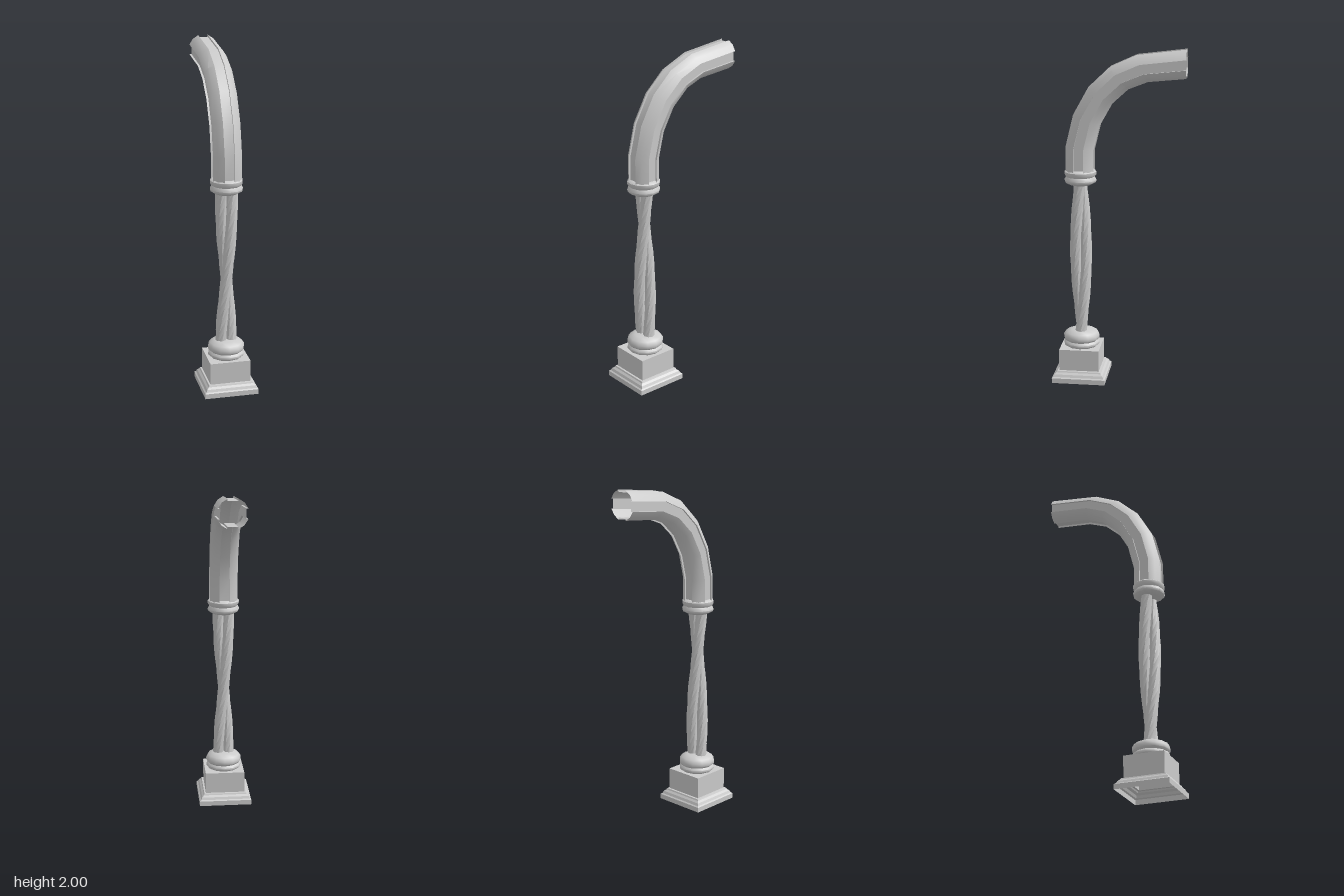
import * as THREE from 'three';
import { toCreasedNormals } from 'three/addons/utils/BufferGeometryUtils.js';

const CZ = 0.23; // z of the column axis
const material = new THREE.MeshStandardMaterial({ color: 0xcccccc, side: THREE.DoubleSide });

// Skin a list of equal-length closed rings; rings run anticlockwise seen from the far end
function loft(rings, crease) {
  const n = rings[0].length, index = [];
  for (let r = 0; r < rings.length - 1; r++) {
    for (let i = 0; i < n; i++) {
      const a = r * n + i, b = r * n + (i + 1) % n;
      index.push(a, b, b + n, a, b + n, a + n);
    }
  }
  const geo = new THREE.BufferGeometry().setFromPoints(rings.flat());
  geo.setIndex(index);
  return toCreasedNormals(geo, crease);
}

function addMesh(parent, name, geo) {
  const mesh = new THREE.Mesh(geo, material);
  mesh.name = name;
  parent.add(mesh);
  return mesh;
}

function turned(profile, sides, crease, phase = 0, scale = 1) {
  const points = profile.map(([r, y]) => new THREE.Vector2(r * scale, y));
  const geo = new THREE.LatheGeometry(points, sides, phase);
  geo.translate(0, 0, CZ);
  return toCreasedNormals(geo, crease);
}

// One strand of the twisted shaft, half a turn from bottom to top
function strand(start) {
  const rings = [], steps = 12, sides = 8;
  for (let s = 0; s <= steps; s++) {
    const t = s / steps, turn = start + t * Math.PI;
    const ring = [];
    for (let i = 0; i < sides; i++) {
      const a = (i / sides) * Math.PI * 2 + turn;
      ring.push(new THREE.Vector3(
        0.032 * Math.cos(turn) + 0.034 * Math.cos(a),
        0.285 + t * 0.925,
        CZ - 0.032 * Math.sin(turn) - 0.034 * Math.sin(a)));
    }
    rings.push(ring);
  }
  return loft(rings, 0.85);
}

// Curved pipe with four recessed flutes
function pipe() {
  const R = 0.083, w = 0.029, d = 0.012, c = 0.062;
  const quarter = [[R, -w], [R - d, -w], [R - d, w], [R, w], [c, c]];
  const section = [];
  for (let q = 0; q < 4; q++) {
    const cs = Math.round(Math.cos(q * Math.PI / 2)), sn = Math.round(Math.sin(q * Math.PI / 2));
    for (const [u, v] of quarter) section.push([u * cs - v * sn, -(u * sn + v * cs)]);
  }
  // z, y and tilt in degrees of each station along the bend
  const stations = [
    [0.23, 1.28, 0], [0.229, 1.42, 7], [0.188, 1.587, 20], [0.108, 1.73, 36],
    [-0.003, 1.833, 50], [-0.135, 1.889, 67], [-0.388, 1.917, 90],
  ];
  const rings = stations.map(([z, y, deg]) => {
    const t = THREE.MathUtils.degToRad(deg);
    return section.map(([u, v]) => new THREE.Vector3(u, y + v * Math.sin(t), z + v * Math.cos(t)));
  });
  return loft(rings, 0.5);
}

export function createModel() {
  const model = new THREE.Group();
  model.name = 'curvedPipeOnTwistedColumn';

  // Square plinth, hollow underneath
  addMesh(model, 'plinth', turned([
    [0.16, 0], [0.16, 0.03], [0.152, 0.036], [0.145, 0.05], [0.134, 0.06],
    [0.13, 0.068], [0.12, 0.07], [0.12, 0.2], [0, 0.2],
  ], 4, 0.3, Math.PI / 4, Math.SQRT2));

  // Turned rings below and above the shaft
  addMesh(model, 'lowerCollar', turned([
    [0.098, 0.2], [0.108, 0.21], [0.108, 0.222], [0.097, 0.234], [0.108, 0.246],
    [0.109, 0.265], [0.096, 0.285], [0.062, 0.3], [0, 0.302],
  ], 12, 0.8));
  addMesh(model, 'upperCollar', turned([
    [0, 1.195], [0.065, 1.2], [0.092, 1.215], [0.096, 1.228], [0.085, 1.248],
    [0.095, 1.262], [0.095, 1.278], [0.08, 1.29], [0.068, 1.29],
  ], 12, 0.8));

  // Two strands wound round each other
  const shaft = new THREE.Group();
  shaft.name = 'twistedShaft';
  for (const start of [0, Math.PI]) addMesh(shaft, 'strand', strand(start));
  model.add(shaft);

  addMesh(model, 'curvedPipe', pipe());
  return model;
}
